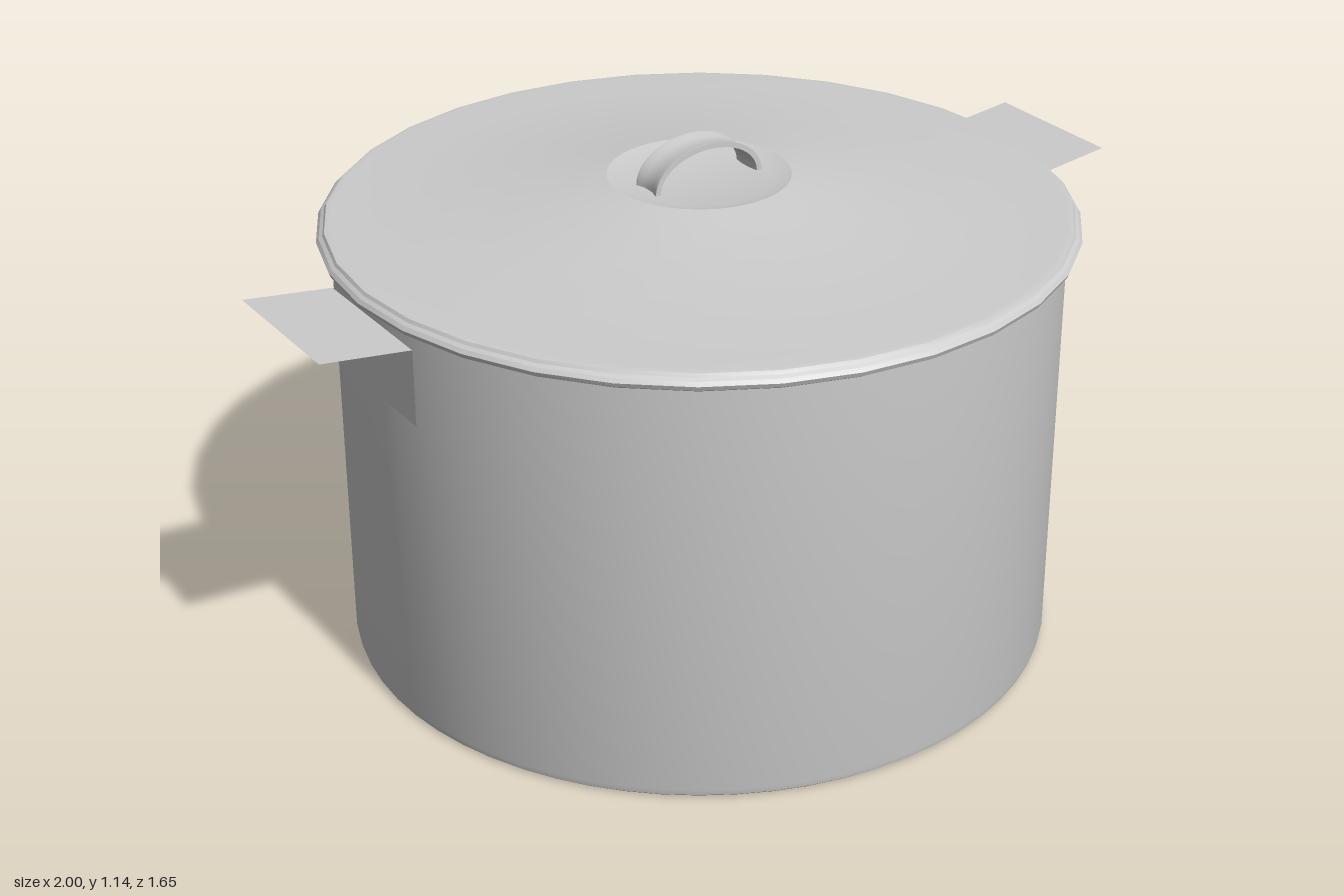
import * as THREE from 'three';
import { toCreasedNormals } from 'three/addons/utils/BufferGeometryUtils.js';

const material = new THREE.MeshStandardMaterial({ color: 0xcccccc, side: THREE.DoubleSide });

function part(name, geometry, crease = 0.5) {
  const mesh = new THREE.Mesh(toCreasedNormals(geometry, crease), material);
  mesh.name = name;
  return mesh;
}

// Profile points are [radius, height], from bottom to top
function lathe(points, segments) {
  return new THREE.LatheGeometry(points.map(([r, y]) => new THREE.Vector2(r, y)), segments);
}

// Arched strap: a slightly dished cross-section swept along a half ellipse
function strapGeometry(rx, ry, y0, halfWidth) {
  const section = [
    [-1, 0.004], [-0.75, 0.003], [-0.4, -0.002], [0.4, -0.002], [0.75, 0.003], [1, 0.004],
    [1, -0.008], [0.4, -0.012], [-0.4, -0.012], [-1, -0.008],
  ];
  const steps = 24, n = section.length, positions = [], index = [];
  for (let i = 0; i <= steps; i++) {
    const a = Math.PI * i / steps;
    for (const [w, h] of section) {
      positions.push(Math.cos(a) * (rx + h), y0 + Math.sin(a) * (ry + h), w * halfWidth);
    }
  }
  for (let i = 0; i < steps; i++) {
    for (let j = 0; j < n; j++) {
      const a = i * n + j, b = i * n + (j + 1) % n;
      index.push(a, a + n, b, b, a + n, b + n);
    }
  }
  const geometry = new THREE.BufferGeometry();
  geometry.setAttribute('position', new THREE.Float32BufferAttribute(positions, 3));
  geometry.setIndex(index);
  geometry.computeVertexNormals();
  return geometry;
}

export function createModel() {
  const group = new THREE.Group();

  // Pot with a small rounded foot edge
  group.add(part('potBody', lathe([
    [0, 0], [0.785, 0], [0.792, 0.006], [0.795, 0.02], [0.795, 0.96],
  ], 64)));

  // Lid: rolled rim, shallow trough, cone and recessed centre
  group.add(part('lid', lathe([
    [0.795, 0.955], [0.81, 0.955], [0.822, 0.962], [0.826, 0.972], [0.82, 0.98],
    [0.812, 0.985], [0.808, 0.992], [0.795, 0.994], [0.725, 0.987],
    [0.2, 1.066], [0.16, 1.056], [0, 1.056],
  ], 32), 0.3));

  // Lid handle
  group.add(part('lidHandle', strapGeometry(0.132, 0.085, 1.056, 0.039), 0.7));

  // Side handles: thin plate against the wall with a flange tilted outward
  for (const [side, name] of [[1, 'leftHandle'], [-1, 'rightHandle']]) {
    const handle = new THREE.Group();
    handle.name = name;
    const plate = part('handlePlate', new THREE.PlaneGeometry(0.35, 0.172));
    plate.rotation.y = side * Math.PI / 2;
    plate.position.set(side * 0.798, 0.846, 0);
    const flangeGeometry = new THREE.PlaneGeometry(0.204, 0.35).rotateX(-Math.PI / 2);
    const flange = part('handleFlange', flangeGeometry);
    flange.rotation.z = side * Math.atan2(0.025, 0.202);
    flange.position.set(side * 0.899, 0.944, 0);
    handle.add(plate, flange);
    group.add(handle);
  }

  return group;
}
